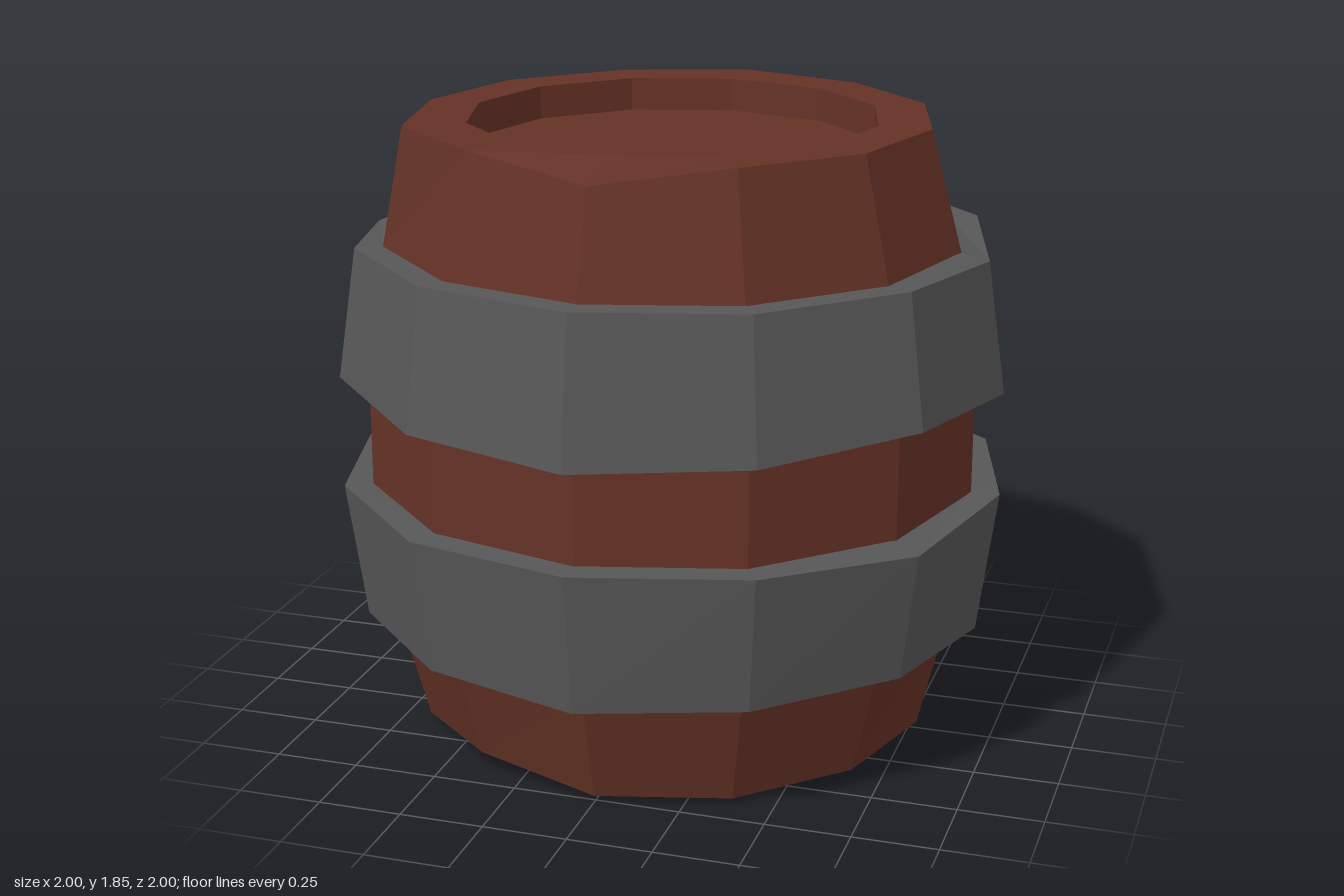
import * as THREE from 'three';

const SIDES = 12;

// Flat-faced solid of revolution. Each ring is { r, y, tweak }, where tweak maps
// a corner index (0 = +x, 3 = +z, 6 = -x, 9 = -z) to its own { r, y }.
function ringGeometry(rings, closed = false) {
  const corner = (ring, i) => {
    const k = i % SIDES;
    const { r, y } = { ...ring, ...(ring.tweak?.[k] ?? {}) };
    const a = (k / SIDES) * Math.PI * 2;
    return [Math.cos(a) * r, y, Math.sin(a) * r];
  };
  const positions = [];
  const count = closed ? rings.length : rings.length - 1;
  for (let j = 0; j < count; j++) {
    const low = rings[j];
    const high = rings[(j + 1) % rings.length];
    for (let i = 0; i < SIDES; i++) {
      const a = corner(low, i), b = corner(low, i + 1);
      const c = corner(high, i + 1), d = corner(high, i);
      if (low.r > 0) positions.push(...a, ...d, ...b);
      if (high.r > 0) positions.push(...b, ...d, ...c);
    }
  }
  const geometry = new THREE.BufferGeometry();
  geometry.setAttribute('position', new THREE.Float32BufferAttribute(positions, 3));
  geometry.computeVertexNormals();
  return geometry;
}

export function createModel() {
  const wood = new THREE.MeshStandardMaterial({ color: 0x653226 });
  wood.name = 'redBrownWood';
  const iron = new THREE.MeshStandardMaterial({ color: 0x575757 });
  iron.name = 'darkIron';

  const barrel = new THREE.Group();
  barrel.name = 'barrel';
  const add = (name, geometry, material) => {
    const mesh = new THREE.Mesh(geometry, material);
    mesh.name = name;
    barrel.add(mesh);
  };

  // Wooden body with sunken lids and a few chipped rim corners
  add('woodenBody', ringGeometry([
    { r: 0, y: 0.12 },
    { r: 0.61, y: 0.12 },
    { r: 0.61, y: 0.02 },
    { r: 0.765, y: 0.02, tweak: { 0: { r: 0.775 }, 4: { y: 0.055 }, 6: { r: 0.73 }, 10: { r: 0.72, y: 0 } } },
    { r: 0.86, y: 0.37 },
    { r: 0.915, y: 0.78 },
    { r: 0.915, y: 1.09 },
    { r: 0.86, y: 1.5 },
    { r: 0.765, y: 1.85, tweak: { 3: { r: 0.78, y: 1.8 }, 5: { r: 0.795 }, 9: { r: 0.79 } } },
    { r: 0.61, y: 1.85 },
    { r: 0.61, y: 1.75 },
    { r: 0, y: 1.75 },
  ]), wood);

  // Iron hoops, each a closed section: inner bottom, outer bottom, outer top, inner top
  add('lowerHoop', ringGeometry([
    { r: 0.855, y: 0.37 },
    { r: 0.943, y: 0.37, tweak: { 0: { y: 0.35 }, 3: { y: 0.355 } } },
    { r: 1, y: 0.78, tweak: { 1: { y: 0.755 }, 4: { y: 0.775 }, 10: { y: 0.76 } } },
    { r: 0.91, y: 0.78 },
  ], true), iron);

  add('upperHoop', ringGeometry([
    { r: 0.91, y: 1.09 },
    { r: 1, y: 1.09, tweak: { 1: { y: 1.115 }, 3: { y: 1.07 }, 5: { y: 1.115 }, 10: { y: 1.115 } } },
    { r: 0.943, y: 1.5, tweak: { 0: { y: 1.48 }, 6: { r: 0.95, y: 1.465 } } },
    { r: 0.855, y: 1.5 },
  ], true), iron);

  return barrel;
}
